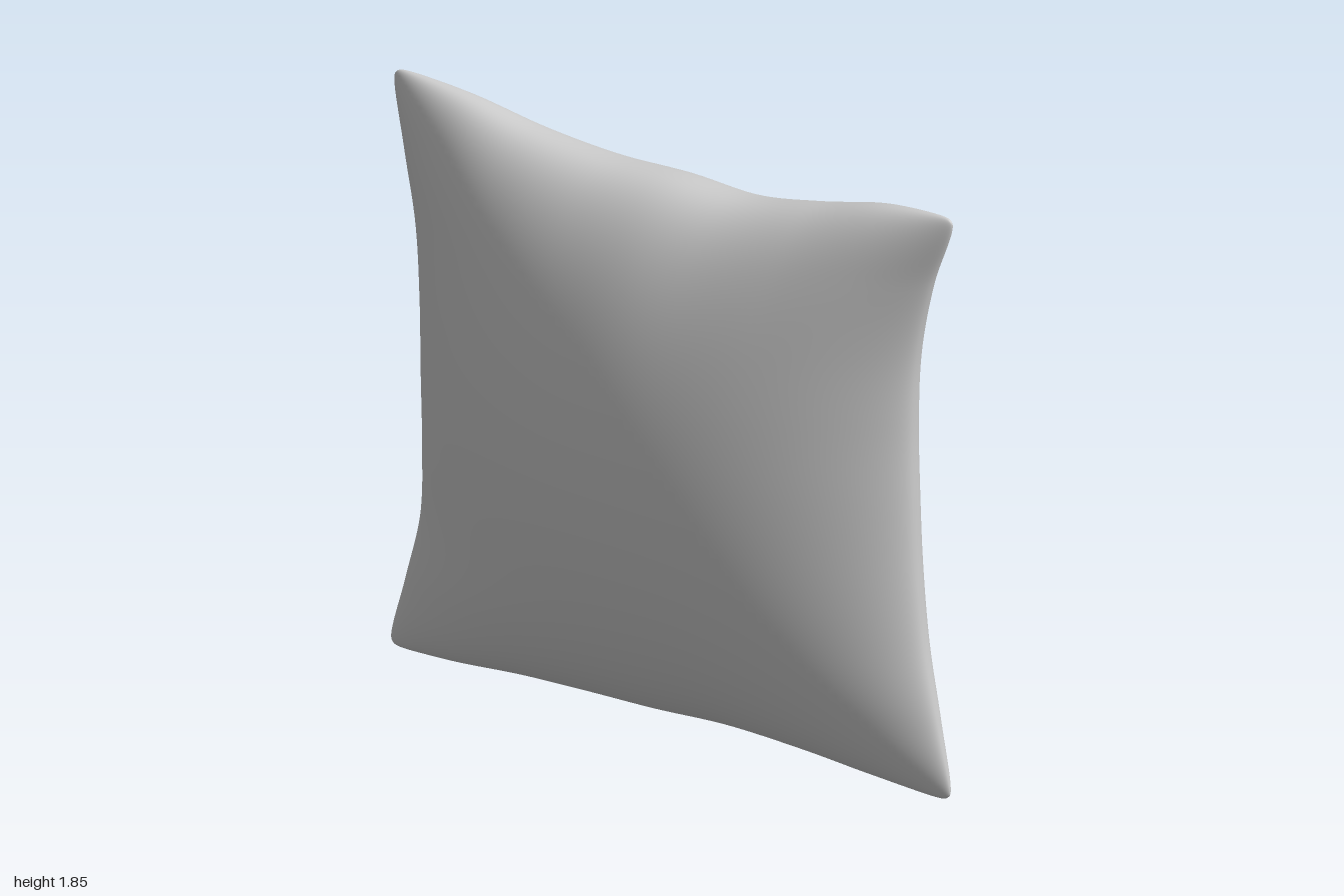
import * as THREE from 'three';
import { mergeGeometries, mergeVertices } from 'three/addons/utils/BufferGeometryUtils.js';

// Seam outline: offsets sampled evenly along each edge, smoothly interpolated
const edge = (values) => {
  const curve = new THREE.SplineCurve(values.map((v, i) => new THREE.Vector2(v, i)));
  return (t) => curve.getPoint(THREE.MathUtils.clamp(t, 0, 1)).x;
};
const leftX = edge([-1.008, -0.945, -0.885, -0.876, -0.88, -0.885, -0.903, -0.95, -0.995]);
const rightX = edge([1, 0.955, 0.908, 0.882, 0.87, 0.866, 0.88, 0.93, 1.01]);
const bottomY = edge([0.012, 0.022, 0.045, 0.056, 0.06, 0.068, 0.05, 0.018, -0.008]);
const topY = edge([1.855, 1.828, 1.775, 1.746, 1.746, 1.735, 1.777, 1.834, 1.85]);

// Fullness across the width (domed with a blunt rim) and along the height
const fullnessAcross = (u) => {
  const k = Math.max(0, 1 - u * u);
  return 0.7 * k ** 0.85 + 0.3 * k ** 0.35;
};
const fullnessUp = (v) => Math.max(0, 1 - v * v) ** 0.45;

// One puffed half of the cushion; side is +1 for front, -1 for back
function cushionHalf(side) {
  const geo = new THREE.PlaneGeometry(2, 2, 80, 80);
  if (side < 0) geo.rotateY(Math.PI);
  geo.deleteAttribute('uv');
  geo.deleteAttribute('normal');
  const pos = geo.attributes.position;
  for (let i = 0; i < pos.count; i++) {
    // Rows crowd toward the seam so it rolls over roundly
    const u = Math.sin(pos.getX(i) * Math.PI / 2);
    const v = Math.sin(pos.getY(i) * Math.PI / 2);
    const s = (u + 1) / 2, t = (v + 1) / 2;
    const corner = 0.014 * Math.abs(u * v) ** 50; // blunt corner tips
    const x = THREE.MathUtils.lerp(leftX(t), rightX(t), s) - Math.sign(u) * corner;
    const y = THREE.MathUtils.lerp(bottomY(s), topY(s), t) - Math.sign(v) * corner;
    const rim = Math.abs(pos.getX(i)) > 0.9999 || Math.abs(pos.getY(i)) > 0.9999;
    pos.setXYZ(i, x, y, rim ? 0 : side * 0.347 * fullnessAcross(u) * fullnessUp(v));
  }
  return geo;
}

export function createModel() {
  const group = new THREE.Group();
  group.name = 'cushion';
  const fabric = new THREE.MeshStandardMaterial({ color: 0xcccccc });
  fabric.name = 'grey fabric';

  // Weld both halves along the seam for smooth shading
  const geo = mergeVertices(mergeGeometries([cushionHalf(1), cushionHalf(-1)]), 1e-4);
  geo.computeVertexNormals();
  const cover = new THREE.Mesh(geo, fabric);
  cover.name = 'cushionCover';
  group.add(cover);
  return group;
}
